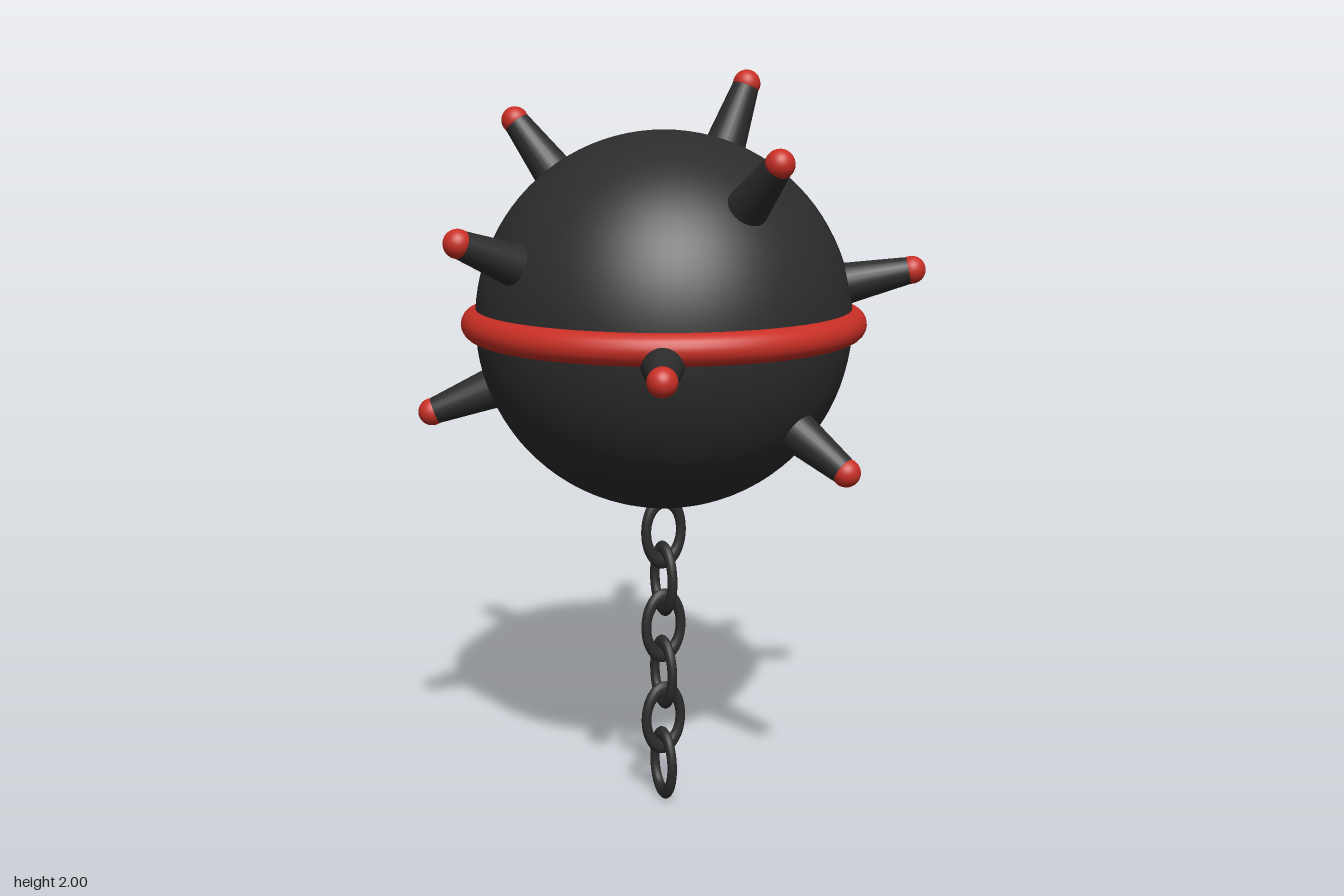
import * as THREE from 'three';

export function createModel() {
  const model = new THREE.Group();
  model.name = 'navalMine';

  const iron = new THREE.MeshStandardMaterial({ color: 0x2c2c2c });
  iron.name = 'black iron';
  const red = new THREE.MeshStandardMaterial({ color: 0xc92f25 });
  red.name = 'red paint';

  const add = (parent, name, geometry, material) => {
    const mesh = new THREE.Mesh(geometry, material);
    mesh.name = name;
    parent.add(mesh);
    return mesh;
  };

  // Everything hangs on one vertical axis
  const body = new THREE.Group();
  body.name = 'body';
  body.position.set(0, 1.36, 0.024);
  model.add(body);

  // Ball and the band around its equator
  add(body, 'ball', new THREE.SphereGeometry(0.493, 64, 48), iron);
  const band = add(body, 'band', new THREE.TorusGeometry(0.49, 0.04, 20, 80), red);
  band.rotation.x = Math.PI / 2;

  // Horns on a golden-angle spiral, leaving the underside free for the chain
  const inner = 0.44, reach = 0.655;
  const hornShape = new THREE.CylinderGeometry(0.034, 0.059, reach - inner, 24);
  hornShape.translate(0, (inner + reach) / 2, 0);
  const tipShape = new THREE.SphereGeometry(0.036, 24, 16);
  const goldenAngle = Math.PI * (3 - Math.sqrt(5));
  const up = new THREE.Vector3(0, 1, 0);
  for (let i = 0; i < 11; i++) {
    const y = 1 - (2 * i + 1) / 14;
    const r = Math.sqrt(1 - y * y);
    const a = -i * goldenAngle;
    const direction = new THREE.Vector3(r * Math.cos(a), y, r * Math.sin(a));
    const horn = new THREE.Group();
    horn.name = 'horn';
    horn.quaternion.setFromUnitVectors(up, direction);
    add(horn, 'hornStem', hornShape, iron);
    add(horn, 'hornTip', tipShape, red).position.y = reach;
    body.add(horn);
  }

  // Chain of oval links, each turned a quarter from the last
  const linkShape = new THREE.TorusGeometry(0.053, 0.0135, 14, 40);
  linkShape.scale(1, 1.6, 1);
  const chain = new THREE.Group();
  chain.name = 'chain';
  chain.position.z = 0.024;
  for (let i = 0; i < 6; i++) {
    const link = add(chain, 'chainLink', linkShape, iron);
    link.position.y = 0.787 - i * 0.135;
    link.rotation.y = (i % 2) * Math.PI / 2;
  }
  model.add(chain);

  return model;
}
